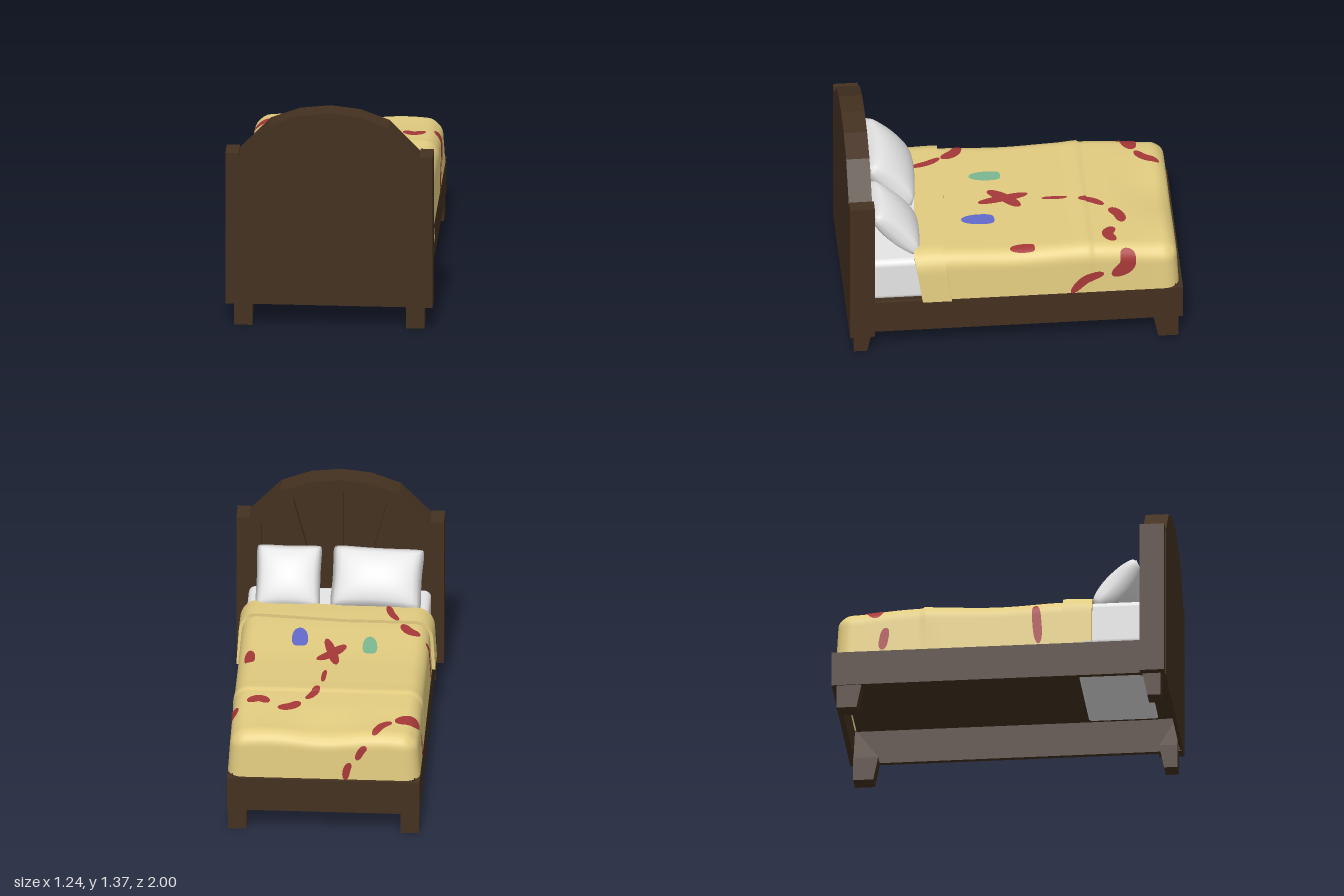
import * as THREE from 'three';
import { mergeVertices, toCreasedNormals } from 'three/addons/utils/BufferGeometryUtils.js';
import { RoundedBoxGeometry } from 'three/addons/geometries/RoundedBoxGeometry.js';

const mat = (name, color, side = THREE.FrontSide) => {
  const m = new THREE.MeshStandardMaterial({ color, side });
  m.name = name;
  return m;
};
const { clamp, smoothstep } = THREE.MathUtils;

// Blanket surface: s runs across the bed, v along it; both bend down over the edges.
const W = 0.575, L = 0.98, R = 0.09, TOP = 0.66, LOW = 0.36;
function drape(s, v, off = 0) {
  const over = Math.max(Math.abs(s) - W, 0) + Math.max(-v - L, 0);
  const p = new THREE.Vector3(clamp(s, -W, W), Math.max(LOW, TOP - over), Math.max(v, -L));
  const c = new THREE.Vector3(clamp(p.x, R - W, W - R), Math.min(p.y, TOP - R), Math.max(p.z, R - L));
  const k = (p.y - LOW) / (TOP - LOW);
  const seam = v > -0.47 ? 0.008 * k * smoothstep(-v, 0.33, 0.46) : 0;
  p.sub(c).normalize().multiplyScalar(R + off + seam).add(c);
  p.x *= 1 - 0.03 * k;
  if (p.z < 0) p.z *= 1 - 0.015 * k;
  // Soft waves, a dip in the middle of the foot and lower foot corners
  const foot = smoothstep(-p.z, 0.6, 0.95);
  p.y -= k * (0.007 * Math.cos(7.8 * p.z) + foot * (0.032 * Math.exp(-p.x * p.x / 0.05) + 0.03 * (p.x / W) ** 4));
  return p;
}

// Surface from a rule f(i, j) on a grid of nu x nv cells
function grid(f, nu, nv) {
  const pos = [], idx = [];
  for (let j = 0; j <= nv; j++) for (let i = 0; i <= nu; i++) pos.push(...f(i, j).toArray());
  for (let j = 0; j < nv; j++) for (let i = 0; i < nu; i++) {
    const a = j * (nu + 1) + i, b = a + 1, c = a + nu + 1, d = c + 1;
    idx.push(a, c, b, b, c, d);
  }
  let g = new THREE.BufferGeometry();
  g.setAttribute('position', new THREE.Float32BufferAttribute(pos, 3));
  g.setIndex(idx);
  g = mergeVertices(g, 1e-5);
  g.computeVertexNormals();
  return g;
}

// Painted stroke lying on the blanket; two points give an oval
function stroke(points, width, off = 0.004) {
  const curve = new THREE.CatmullRomCurve3(points.map(([s, v]) => new THREE.Vector3(s, 0, v)));
  const power = points.length === 2 ? 2 : 3;
  return grid((i, j) => {
    const t = (1 - Math.cos(Math.PI * j / 24)) / 2, p = curve.getPoint(t), d = curve.getTangent(t);
    const h = (width / 2) * Math.sqrt(Math.max(0, 1 - Math.abs(2 * t - 1) ** power)) * (i / 3 - 1);
    return drape(p.x + d.z * h, p.z - d.x * h, off);
  }, 6, 24);
}

// Four-sided tapered block grown inwards from a bed corner
function taper(sx, sz, zOuter, y0, y1, low, high) {
  const g = new THREE.BoxGeometry(1, 1, 1), p = g.attributes.position;
  for (let i = 0; i < p.count; i++) {
    const up = p.getY(i) > 0, [dx, dz] = up ? high : low;
    const x = 0.57 - (p.getX(i) * sx > 0 ? 0 : dx);
    const z = zOuter - (p.getZ(i) * sz > 0 ? 0 : dz);
    p.setXYZ(i, sx * x, up ? y1 : y0, sz * z);
  }
  g.computeVertexNormals();
  return g;
}

// Plump cushion with pinched edges and rounded corners
function cushion(w, h, thick) {
  let g = new THREE.BoxGeometry(2, 2, 2, 20, 20, 1);
  const p = g.attributes.position;
  for (let i = 0; i < p.count; i++) {
    const u = p.getX(i), v = p.getY(i);
    const bulge = Math.pow(Math.max(0, (1 - u * u) * (1 - v * v)), 0.42);
    const corner = 1 - 0.06 * (u * v) ** 6;
    p.setXYZ(i, u * corner * w / 2 * (1 - 0.05 * (1 - v * v)), v * corner * h / 2 * (1 - 0.05 * (1 - u * u)),
      p.getZ(i) * bulge * thick / 2);
  }
  g.deleteAttribute('uv');
  g.deleteAttribute('normal');
  g = mergeVertices(g, 1e-5);
  g.computeVertexNormals();
  return g;
}

// Symmetrical arched outline from its right-hand points
const arch = (bx, by, pts) => {
  const right = pts.slice(0, -1), top = pts[pts.length - 1];
  const all = [[bx, by], ...right, top, ...right.map(([x, y]) => [-x, y]).reverse(), [-bx, by]];
  return all.map(([x, y]) => new THREE.Vector2(x, y));
};

export function createModel() {
  const root = new THREE.Group();
  root.name = 'bed';
  const wood = mat('dark wood', 0x443120);
  const cloth = mat('yellow blanket', 0xe2cc80, THREE.DoubleSide);
  const linen = mat('white linen', 0xe6e6e6);
  const red = mat('red paint', 0xa63838, THREE.DoubleSide);
  const blue = mat('blue paint', 0x626acc, THREE.DoubleSide);
  const green = mat('green paint', 0x7cb890, THREE.DoubleSide);
  const add = (name, geo, m, x = 0, y = 0, z = 0) => {
    const mesh = new THREE.Mesh(geo, m);
    mesh.name = name;
    mesh.position.set(x, y, z);
    root.add(mesh);
    return mesh;
  };
  const box = (name, w, h, d, x, y, z) => add(name, new THREE.BoxGeometry(w, h, d), wood, x, y, z);
  const extrude = (shape, depth) => new THREE.ExtrudeGeometry(shape, { depth, bevelEnabled: false });

  // Headboard: arched back, raised border, posts and fanned bars
  const outer = arch(0.54, 0.36, [[0.54, 1.09], [0.355, 1.285], [0.18, 1.35], [0, 1.37]]);
  const inner = arch(0.47, 0.4, [[0.47, 1.06], [0.315, 1.215], [0.16, 1.275], [0, 1.292]]);
  add('headboardBack', extrude(new THREE.Shape(outer), 0.07), wood, 0, 0, 0.93);
  const border = new THREE.Shape(outer);
  border.holes.push(new THREE.Path(inner));
  add('headboardBorder', extrude(border, 0.07), wood, 0, 0, 0.86);
  box('headboardFoot', 1.08, 0.215, 0.02, 0, 0.2525, 0.99);
  for (const s of [-1, 1]) box('headboardPost', 0.08, 0.96, 0.148, s * 0.58, 0.622, 0.924);
  for (const s of [-1, 0, 1]) {
    const bar = box('headboardBar', 0.035, s ? 0.86 : 0.9, 0.045, s * 0.2, s ? 0.83 : 0.85, 0.89);
    bar.rotation.z = -s * 0.25;
  }

  // Hollow bed frame with a raised base
  for (const s of [-1, 1]) box('sideRail', 0.03, 0.215, 1.98, s * 0.561, 0.2525, -0.01);
  box('footRail', 1.152, 0.215, 0.03, 0, 0.2525, -0.985);
  box('frameBase', 1.1, 0.012, 1.94, 0, 0.363, 0.01);

  // Legs with corner brackets inside the frame
  for (const sx of [-1, 1]) for (const sz of [-1, 1]) {
    const top = sz > 0 ? [0.11, 0.11] : [0.11, 0.15];
    const low = sz > 0 ? [0.11, 0.08] : [0.11, 0.12];
    add('leg', taper(sx, sz, 0.972, 0, 0.146, low, top), wood);
    add('legBracket', taper(sx, sz, 0.972, 0.146, 0.35, top, [0.025, 0.02]), wood);
  }

  // Mattress and pillows
  add('mattress', new RoundedBoxGeometry(1.09, 0.29, 0.45, 4, 0.04), linen, 0, 0.495, 0.645);
  const pillows = [[-0.23, 0.795, 0.7, 0.56, 0.39, 0.23, 0.03], [0.3, 0.785, 0.71, 0.4, 0.4, 0.19, 0]];
  for (const [x, y, z, w, h, t, roll] of pillows) {
    add('pillow', cushion(w, h, t), linen, x, y, z).rotation.set(0.73, 0, roll);
  }

  // Blanket and its turned-down fold
  const S = W + TOP - LOW;
  add('blanket', grid((i, j) => drape(-S + 2 * S * i / 90, -1.28 + 1.78 * j / 110), 90, 110), cloth);
  const foldEdge = (s) => s < 0 ? 0.56 : s < 0.55 ? 0.565 + 0.08 * s : 0.609 - 0.15 * (s - 0.55);
  const fold = grid((i, j) => {
    const s = -S + 2 * S * i / 60, edge = j === 0 || j === 9;
    return drape(s, foldEdge(s) - 0.175 * (1 - clamp((j - 1) / 7, 0, 1)), edge ? -0.012 : 0.02);
  }, 60, 9);
  add('blanketFold', toCreasedNormals(fold, 0.6), cloth);

  // Painted strokes: width, path on the cloth, optional lift
  const marks = [
    [0.095, [[-0.64, -0.74], [-0.53, -0.76], [-0.43, -0.79]]],
    [0.055, [[-0.41, -0.8], [-0.35, -0.85], [-0.305, -0.95]]],
    [0.05, [[0.065, -0.42], [0.085, -0.5], [0.13, -0.57]], 0.006],
    [0.03, [[0.03, -0.2], [0.037, -0.28], [0.04, -0.355]]],
    [0.07, [[0.165, -0.6], [0.22, -0.65], [0.3, -0.67]]],
    [0.07, [[0.355, -0.61], [0.42, -0.57], [0.49, -0.61]]],
    [0.095, [[0.55, -0.67], [0.62, -0.68], [0.69, -0.67], [0.76, -0.58]]],
    [0.055, [[0.74, -0.53], [0.78, -0.42], [0.87, -0.33]], 0.006],
    [0.075, [[0.51, -0.12], [0.51, 0.03]]],
    [0.06, [[-0.03, -0.12], [0, 0.02], [0.045, 0.185]]],
    [0.075, [[-0.075, 0.12], [0, 0.02], [0.09, -0.065]]],
    [0.065, [[-0.53, 0.255], [-0.46, 0.29], [-0.41, 0.37]]],
    [0.045, [[-0.385, 0.38], [-0.34, 0.46], [-0.315, 0.56]], 0.025],
    [0.055, [[-0.6, 0.22], [-0.73, 0.23], [-0.87, 0.24]]],
    [0.055, [[-0.72, -0.68], [-0.79, -0.69], [-0.87, -0.7]]],
    [0.045, [[-0.26, -1.05], [-0.23, -1.08], [-0.2, -1.14]]],
    [0.045, [[-0.16, -1.16], [-0.14, -1.21], [-0.13, -1.28]]],
  ];
  for (const [w, pts, off] of marks) add('redStroke', stroke(pts, w, off), red);
  add('blueSpot', stroke([[0.205, 0.1], [0.215, 0.3]], 0.1), blue);
  add('greenSpot', stroke([[-0.23, 0.03], [-0.22, 0.22]], 0.09), green);
  return root;
}
